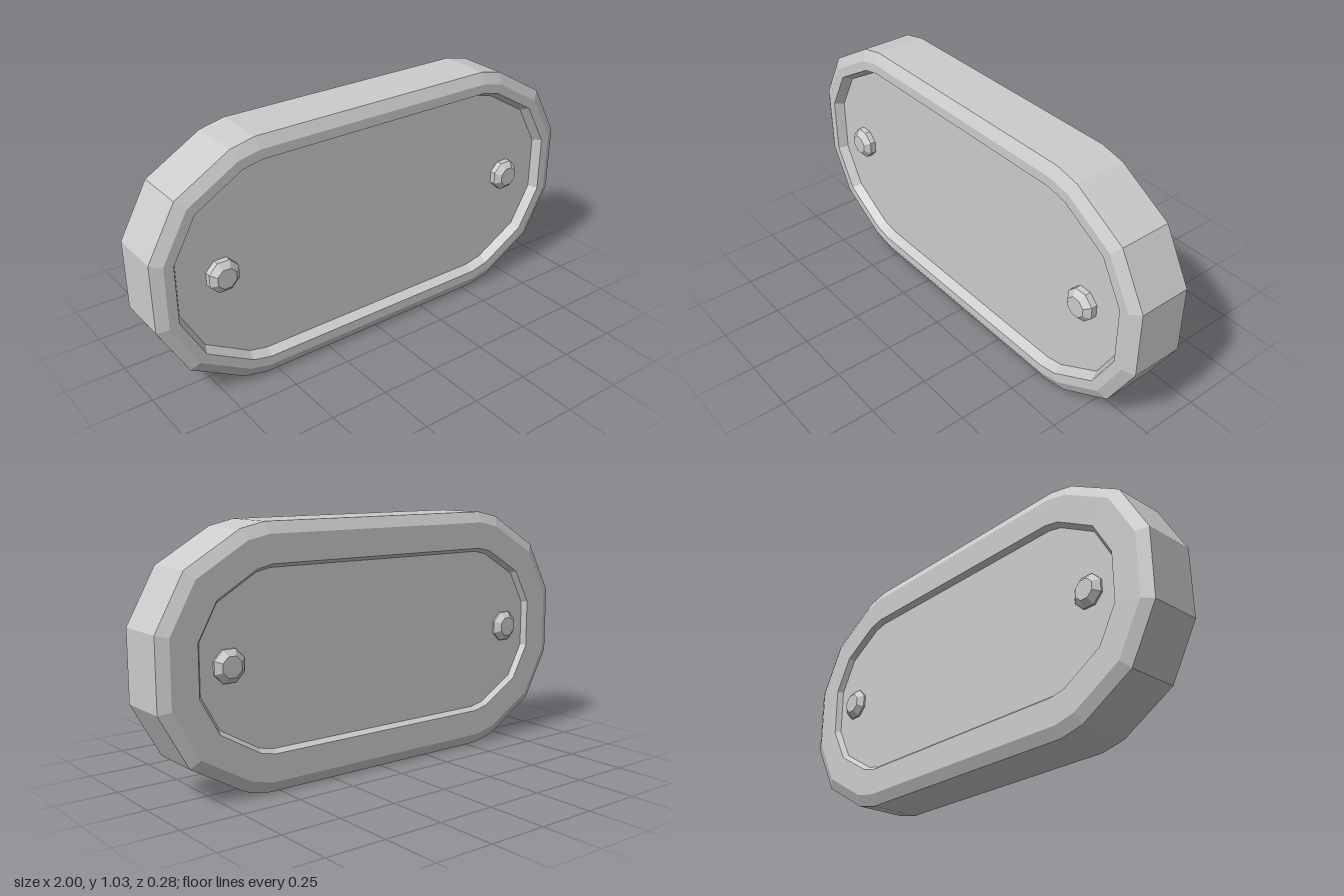
import * as THREE from 'three';

const CY = 0.515;

// One quarter of the outline, mirrored into a full counter-clockwise loop
const quarter = [[1, 0.142], [0.88, 0.358], [0.65, 0.492], [0.545, 0.515]];
const flipped = [...quarter].reverse();
const outline = [
  ...quarter,
  ...flipped.map(([x, y]) => [-x, y]),
  ...quarter.map(([x, y]) => [-x, -y]),
  ...flipped.map(([x, y]) => [x, -y]),
].map(([x, y]) => new THREE.Vector2(x, y));

// Outline moved inward by d with mitred corners
function inset(d) {
  const n = outline.length;
  const normal = (i) => {
    const e = outline[(i + 1) % n].clone().sub(outline[i % n]).normalize();
    return new THREE.Vector2(e.y, -e.x);
  };
  return outline.map((p, i) => {
    const a = normal(i + n - 1), b = normal(i);
    const miter = a.clone().add(b).divideScalar(1 + a.dot(b));
    return p.clone().addScaledVector(miter, -d);
  });
}

// Strips joining a sequence of [inset, z] rings, optionally capped at both ends
function ringGeometry(steps, capped) {
  const rings = steps.map(([d, z]) => inset(d).map((p) => [p.x, p.y, z]));
  const n = outline.length, pos = [];
  for (let r = 0; r < rings.length - 1; r++) {
    for (let i = 0; i < n; i++) {
      const j = (i + 1) % n;
      const a = rings[r][i], b = rings[r][j], c = rings[r + 1][j], d = rings[r + 1][i];
      pos.push(...a, ...b, ...c, ...a, ...c, ...d);
    }
  }
  if (capped) {
    const first = rings[0], last = rings[rings.length - 1];
    for (let i = 0; i < n; i++) {
      const j = (i + 1) % n;
      pos.push(0, 0, first[0][2], ...first[j], ...first[i]);
      pos.push(0, 0, last[0][2], ...last[i], ...last[j]);
    }
  }
  const g = new THREE.BufferGeometry();
  g.setAttribute('position', new THREE.Float32BufferAttribute(pos, 3));
  g.computeVertexNormals();
  return g;
}

export function createModel() {
  const group = new THREE.Group();
  const material = new THREE.MeshStandardMaterial({ color: 0xcccccc, flatShading: true });

  const add = (name, geometry) => {
    const mesh = new THREE.Mesh(geometry, material);
    mesh.name = name;
    mesh.position.y = CY;
    group.add(mesh);
    return mesh;
  };

  // Bevelled rim with a recessed panel front and back; the back rim is wider
  add('body', ringGeometry([
    [0.17, -0.112], [0.155, -0.134], [0.045, -0.134], [0, -0.11],
    [0, 0.11], [0.045, 0.134], [0.085, 0.134], [0.105, 0.095],
  ], true));

  // Octagonal bevelled studs at both ends of each panel
  const profile = [[0.068, 0.08], [0.068, 0.12], [0.043, 0.142], [0, 0.142]]
    .map(([r, y]) => new THREE.Vector2(r, y));
  const studGeometry = new THREE.LatheGeometry(profile, 8, Math.PI / 8);
  for (const face of [1, -1]) {
    for (const side of [1, -1]) {
      const stud = add(
        (face > 0 ? 'front' : 'back') + (side > 0 ? 'Left' : 'Right') + 'Stud', studGeometry);
      stud.position.x = side * 0.712;
      stud.rotation.x = face * Math.PI / 2;
    }
  }
  return group;
}
